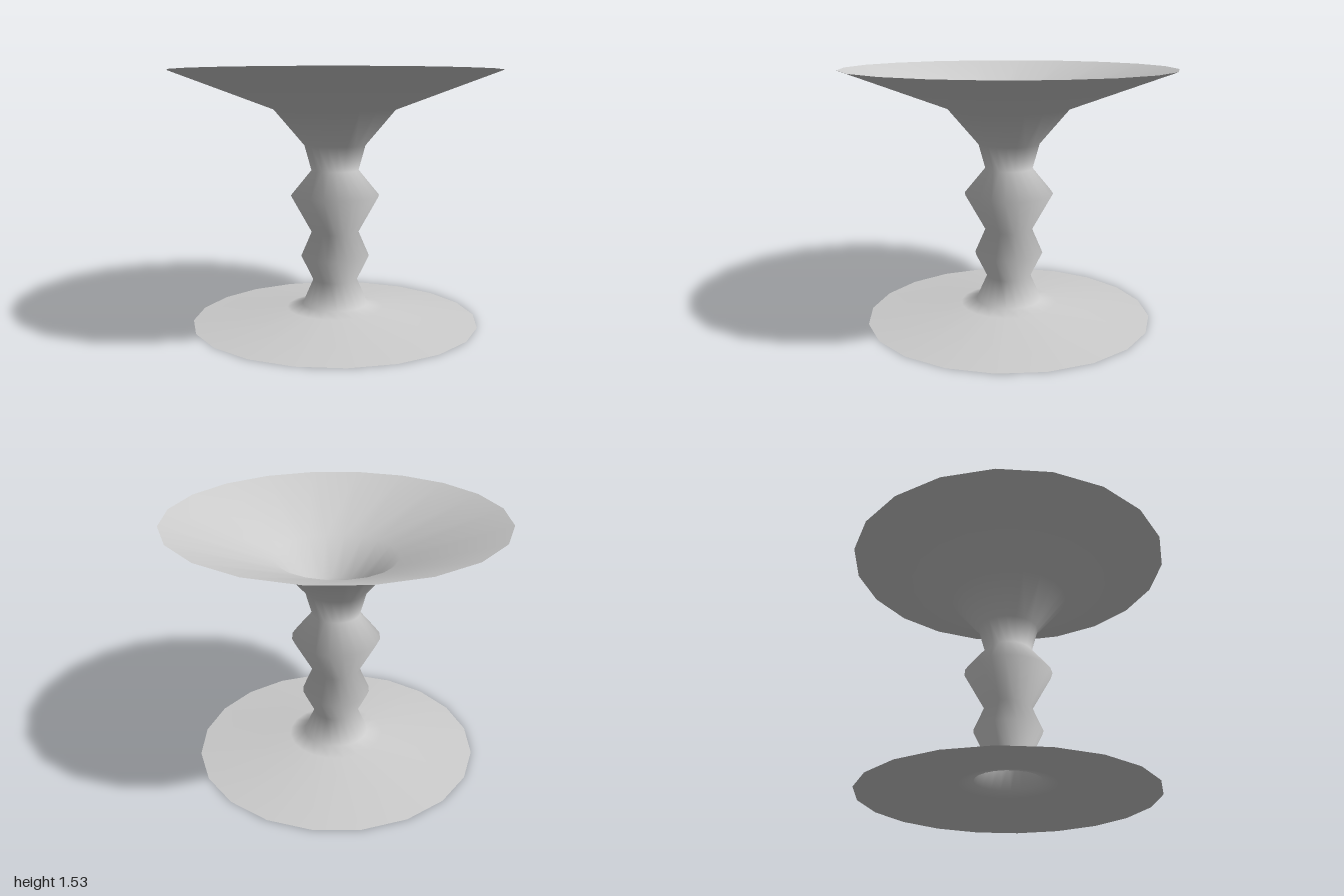
import * as THREE from 'three';

export function createModel() {
  const group = new THREE.Group();
  const material = new THREE.MeshStandardMaterial({ color: 0xcccccc, side: THREE.DoubleSide });

  // [radius, height] from the foot's rim, up the beaded stem, to the bowl's rim
  const profile = [
    [0.88, 0], [0.3, 0.075], [0.203, 0.097],
    [0.136, 0.25], [0.21, 0.4], [0.145, 0.55], [0.272, 0.778], [0.145, 0.933],
    [0.187, 1.085], [0.372, 1.302], [1, 1.535],
  ].map(([r, y]) => new THREE.Vector2(r, y));

  // Thin open shell, hollow all the way through
  const goblet = new THREE.Mesh(new THREE.LatheGeometry(profile, 20), material);
  goblet.name = 'flaredPedestal';
  group.add(goblet);
  return group;
}
